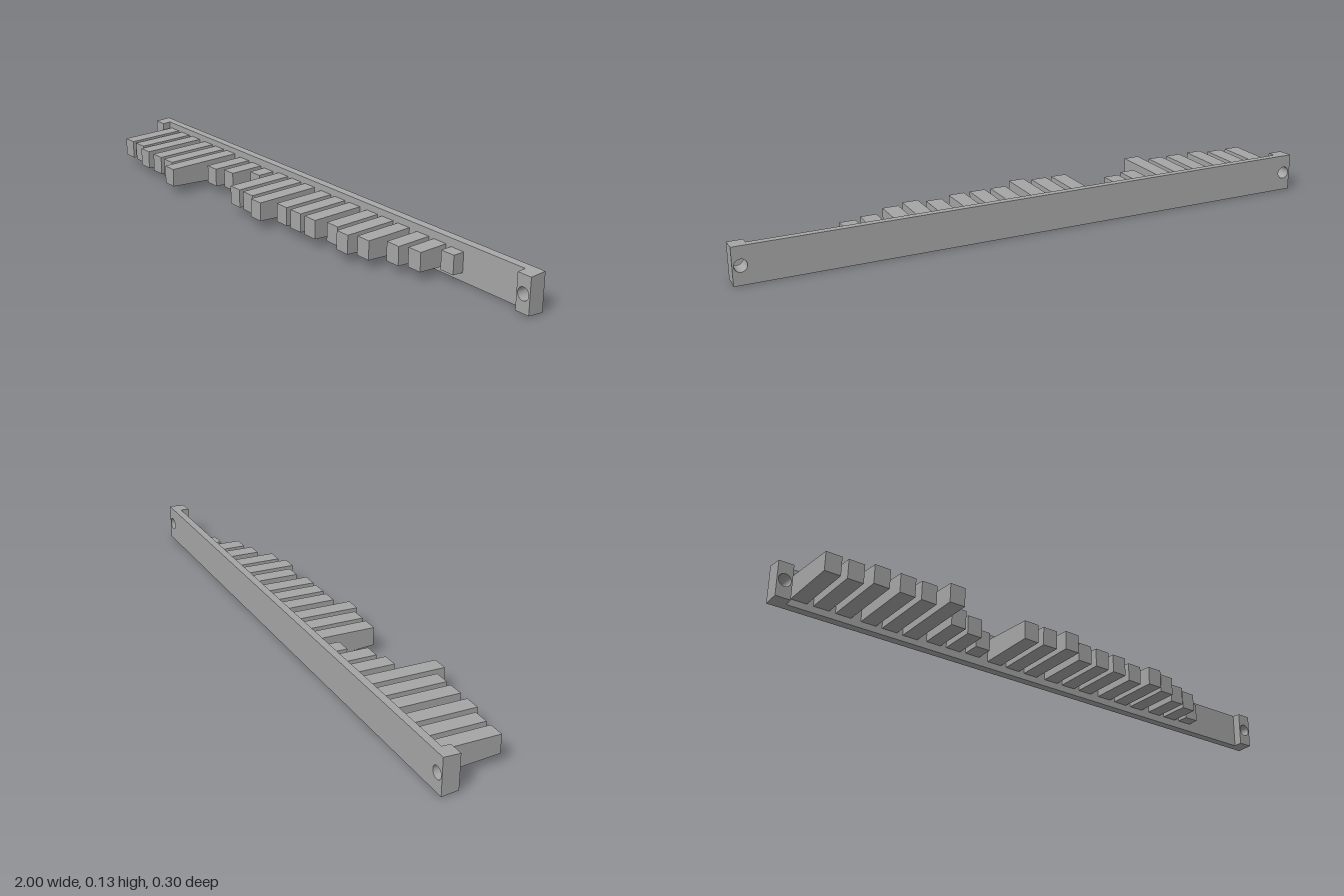
import * as THREE from 'three';

const BACK = -0.148, PLATE_FRONT = -0.121, TAB_FRONT = -0.091;
const MID_Y = 0.0635, HALF_Y = 0.0635;
const HOLE_X = 0.974, HOLE_R = 0.021;

// Rectangle with round screw holes, extruded along z; height shrinks slightly towards the front
function drilledSlab(x0, x1, z0, z1, holeXs) {
  const shape = new THREE.Shape();
  shape.moveTo(x0, -HALF_Y);
  shape.lineTo(x1, -HALF_Y);
  shape.lineTo(x1, HALF_Y);
  shape.lineTo(x0, HALF_Y);
  shape.closePath();
  for (const x of holeXs) {
    const hole = new THREE.Path();
    hole.absarc(x, 0, HOLE_R, 0, Math.PI * 2, true);
    shape.holes.push(hole);
  }
  const geo = new THREE.ExtrudeGeometry(shape, { depth: z1 - z0, bevelEnabled: false, curveSegments: 16 });
  geo.translate(0, 0, z0);
  const p = geo.attributes.position;
  for (let i = 0; i < p.count; i++) {
    if (Math.abs(p.getY(i)) > HALF_Y - 0.001) {
      p.setY(i, p.getY(i) - Math.sign(p.getY(i)) * 0.07 * (p.getZ(i) - BACK));
    }
  }
  geo.translate(0, MID_Y, 0);
  geo.computeVertexNormals();
  return geo;
}

// Bar that grows taller from its tip back to the plate
function toothGeometry(tipZ) {
  const length = tipZ - PLATE_FRONT;
  const geo = new THREE.BoxGeometry(0.054, 1, length);
  const p = geo.attributes.position;
  for (let i = 0; i < p.count; i++) {
    const half = p.getZ(i) > 0 ? 0.032 : 0.032 + 0.036 * length;
    p.setY(i, Math.sign(p.getY(i)) * half);
  }
  geo.translate(0, 0, PLATE_FRONT + length / 2);
  geo.computeVertexNormals();
  return geo;
}

export function createModel() {
  const model = new THREE.Group();
  model.name = 'toothedBar';
  const grey = new THREE.MeshStandardMaterial({ color: 0xa6a6a6 });
  grey.name = 'grey';

  const add = (name, geo) => {
    const mesh = new THREE.Mesh(geo, grey);
    mesh.name = name;
    model.add(mesh);
    return mesh;
  };

  // Long back plate and the raised mounting pads at its ends
  add('backPlate', drilledSlab(-1, 1, BACK, PLATE_FRONT, [-HOLE_X, HOLE_X]));
  add('rightMountingPad', drilledSlab(-1, -0.949, PLATE_FRONT, TAB_FRONT, [-HOLE_X]));
  add('leftMountingPad', drilledSlab(0.949, 1, PLATE_FRONT, TAB_FRONT, [HOLE_X]));

  // Seven groups of three teeth; values are the tip depths
  const tips = [
    [0.086, 0.086, 0.107],
    [0.107, 0.107, 0.148],
    [0.023, 0.002, -0.06],
    [0.086, 0.086, 0.107],
    [0.065, 0.065, 0.065],
    [0.044, 0.065, 0.044],
    [0.002, -0.018, -0.081],
  ];
  tips.forEach((group, g) => group.forEach((tipZ, i) => {
    const tooth = add(`tooth${g * 3 + i + 1}`, toothGeometry(tipZ));
    tooth.position.set(-0.834 + g * 0.2397 + (i - 1) * 0.0755, 0.064, 0);
  }));

  return model;
}
